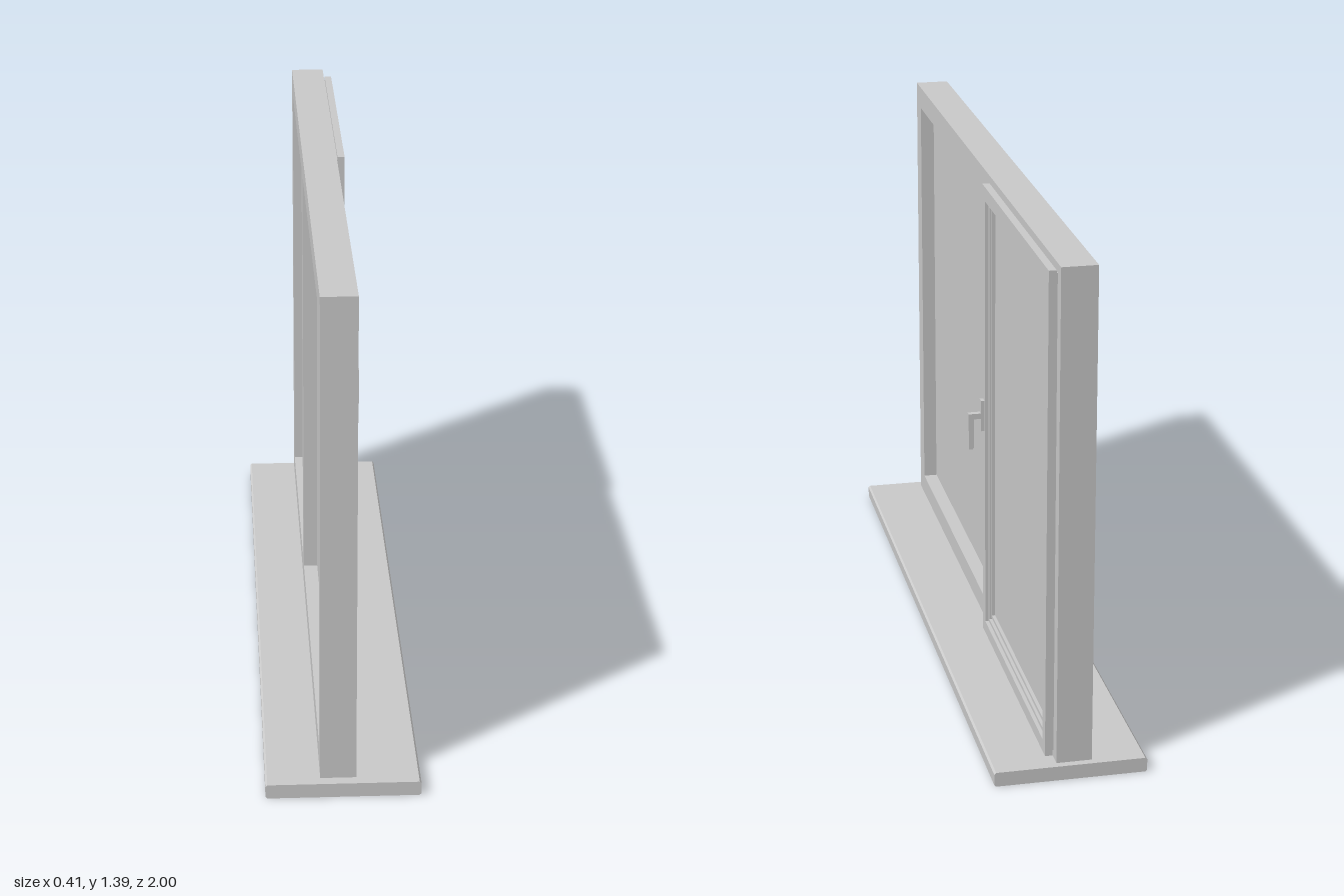
import * as THREE from 'three';

const material = new THREE.MeshStandardMaterial({ color: 0xcccccc, flatShading: true });

function addMesh(parent, name, geometry) {
  const mesh = new THREE.Mesh(geometry, material);
  mesh.name = name;
  parent.add(mesh);
  return mesh;
}

// Box given by its limits on each axis
function addBox(parent, name, [x0, x1], [y0, y1], [z0, z1]) {
  const mesh = addMesh(parent, name, new THREE.BoxGeometry(x1 - x0, y1 - y0, z1 - z0));
  mesh.position.set((x0 + x1) / 2, (y0 + y1) / 2, (z0 + z1) / 2);
  return mesh;
}

// Rectangle [z0, z1, y0, y1] drawn in a plane whose local x is -z
function trace(path, [z0, z1, y0, y1]) {
  path.moveTo(-z1, y0);
  path.lineTo(-z0, y0);
  path.lineTo(-z0, y1);
  path.lineTo(-z1, y1);
  path.closePath();
  return path;
}

// Upright panel with rectangular openings, running from x0 to x1
function addFrame(parent, name, x0, x1, outer, openings) {
  const shape = trace(new THREE.Shape(), outer);
  for (const opening of openings) shape.holes.push(trace(new THREE.Path(), opening));
  const geometry = new THREE.ExtrudeGeometry(shape, { depth: x1 - x0, bevelEnabled: false });
  geometry.rotateY(Math.PI / 2);
  geometry.translate(x0, 0, 0);
  return addMesh(parent, name, geometry);
}

// Profile in x and y, extruded along z
function addProfile(parent, name, points, z0, z1) {
  const shape = new THREE.Shape(points.map(([x, y]) => new THREE.Vector2(x, y)));
  const geometry = new THREE.ExtrudeGeometry(shape, { depth: z1 - z0, bevelEnabled: false });
  geometry.translate(0, 0, z0);
  return addMesh(parent, name, geometry);
}

export function createModel() {
  const model = new THREE.Group();
  model.name = 'window';

  // Sill board with softened long edges
  const w = 0.205, h = 0.04, c = 0.005;
  addProfile(model, 'sill', [
    [-w + c, 0], [w - c, 0], [w, c], [w, h - c],
    [w - c, h], [-w + c, h], [-w, h - c], [-w, c],
  ], -1, 1);

  // Fixed frame with a mullion between its two openings
  addFrame(model, 'fixedFrame', -0.06, 0.035, [-0.98, 0.97, 0.04, 1.395], [
    [-0.135, 0.905, 0.1, 1.33],
    [-0.915, -0.2, 0.1, 1.33],
  ]);
  addBox(model, 'fixedPane', [-0.02, -0.005], [0.1, 1.33], [-0.135, 0.905]);

  // Opening sash: seal, face frame, stepped glazing bead and pane
  const sash = new THREE.Group();
  sash.name = 'sash';
  model.add(sash);
  const opening = [-0.925, -0.19, 0.085, 1.34];
  addFrame(sash, 'sashSeal', 0.035, 0.04, [-0.945, -0.165, 0.06, 1.37], [opening]);
  addFrame(sash, 'sashFrame', 0.04, 0.06, [-0.955, -0.155, 0.05, 1.38], [opening]);
  addFrame(sash, 'glazingBead', 0.036, 0.05, opening, [[-0.915, -0.2, 0.095, 1.33]]);
  addFrame(sash, 'innerBead', 0.022, 0.044, [-0.915, -0.2, 0.1, 1.33], [[-0.905, -0.208, 0.11, 1.32]]);
  addBox(sash, 'sashPane', [0.023, 0.035], [0.1, 1.33], [-0.915, -0.2]);

  // Handle: back plate and bent lever
  const handle = new THREE.Group();
  handle.name = 'handle';
  sash.add(handle);
  addBox(handle, 'handlePlate', [0.06, 0.07], [0.67, 0.76], [-0.184, -0.162]);
  addProfile(handle, 'handleLever', [
    [0.07, 0.706], [0.09, 0.706], [0.09, 0.622], [0.094, 0.616],
    [0.105, 0.616], [0.105, 0.722], [0.07, 0.722],
  ], -0.181, -0.165);

  return model;
}
